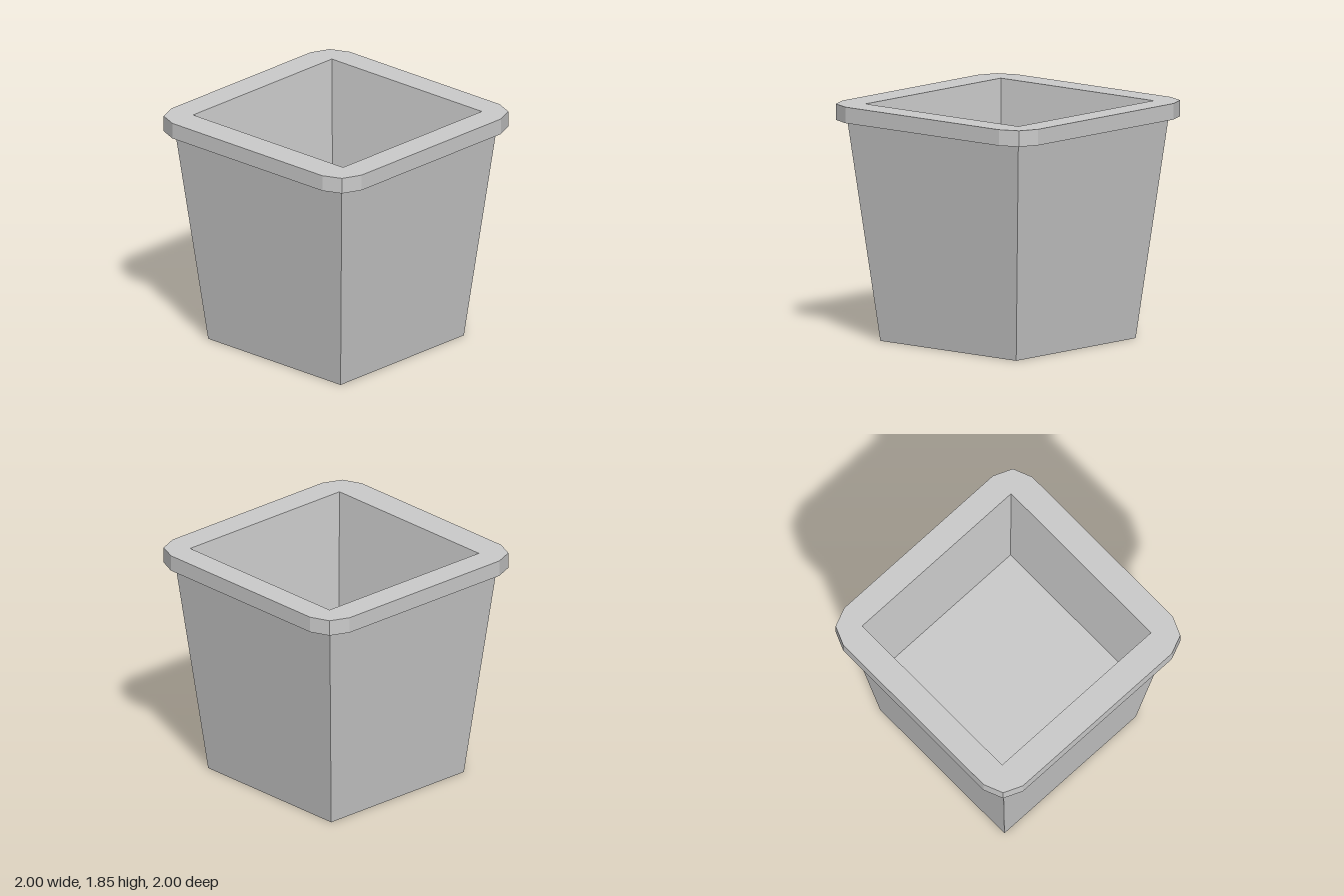
import * as THREE from 'three';

const material = new THREE.MeshStandardMaterial({ color: 0xcccccc, flatShading: true });

function addMesh(group, name, geometry) {
  const mesh = new THREE.Mesh(geometry, material);
  mesh.name = name;
  group.add(mesh);
  return mesh;
}

// Four tapered walls; halfTop and halfBottom are half side lengths
function taperedWalls(halfTop, halfBottom, yBottom, yTop) {
  const g = new THREE.CylinderGeometry(
    halfTop * Math.SQRT2, halfBottom * Math.SQRT2, yTop - yBottom, 4, 1, true);
  g.rotateY(Math.PI / 4);
  g.translate(0, (yTop + yBottom) / 2, 0);
  return g;
}

function flat(geometry) {
  const g = geometry.index ? geometry.toNonIndexed() : geometry;
  g.computeVertexNormals();
  return g;
}

export function createModel() {
  const group = new THREE.Group();
  group.name = 'planter';

  const height = 1.85, rimBottom = 1.725, fillLevel = 0.87;
  const openX = 0.787, openZ = 0.782, openShift = -0.016;

  // Outer walls and base
  addMesh(group, 'outerWalls', flat(taperedWalls(0.875, 0.695, 0, rimBottom)));
  addMesh(group, 'base', new THREE.PlaneGeometry(1.39, 1.39).rotateX(Math.PI / 2));

  // Rim with chamfered corners; shape y becomes -z
  const corner = [[1, 0.785], [0.937, 0.937], [0.787, 1]];
  const outline = [];
  for (const [sx, sy] of [[1, 1], [-1, 1], [-1, -1], [1, -1]]) {
    const pts = sx * sy > 0 ? corner : [...corner].reverse();
    for (const [x, y] of pts) outline.push(new THREE.Vector2(sx * x, sy * y));
  }
  const rim = new THREE.Shape(outline);
  const y0 = -openShift - openZ, y1 = -openShift + openZ;
  rim.holes.push(new THREE.Path([
    new THREE.Vector2(-openX, y0), new THREE.Vector2(-openX, y1),
    new THREE.Vector2(openX, y1), new THREE.Vector2(openX, y0),
  ]));
  const rimGeometry = new THREE.ExtrudeGeometry(rim, { depth: height - rimBottom, bevelEnabled: false });
  rimGeometry.rotateX(-Math.PI / 2);
  rimGeometry.translate(0, rimBottom, 0);
  addMesh(group, 'rim', flat(rimGeometry));

  // Inner walls, mirrored in x so they face inward
  const inner = taperedWalls(openX, 0.685, fillLevel, height);
  inner.scale(-1, 1, openZ / openX);
  inner.translate(0, 0, openShift);
  addMesh(group, 'innerWalls', flat(inner));

  // Inner floor
  const floor = new THREE.PlaneGeometry(1.37, 1.37 * openZ / openX).rotateX(-Math.PI / 2);
  floor.translate(0, fillLevel, openShift);
  addMesh(group, 'innerFloor', floor);

  return group;
}
